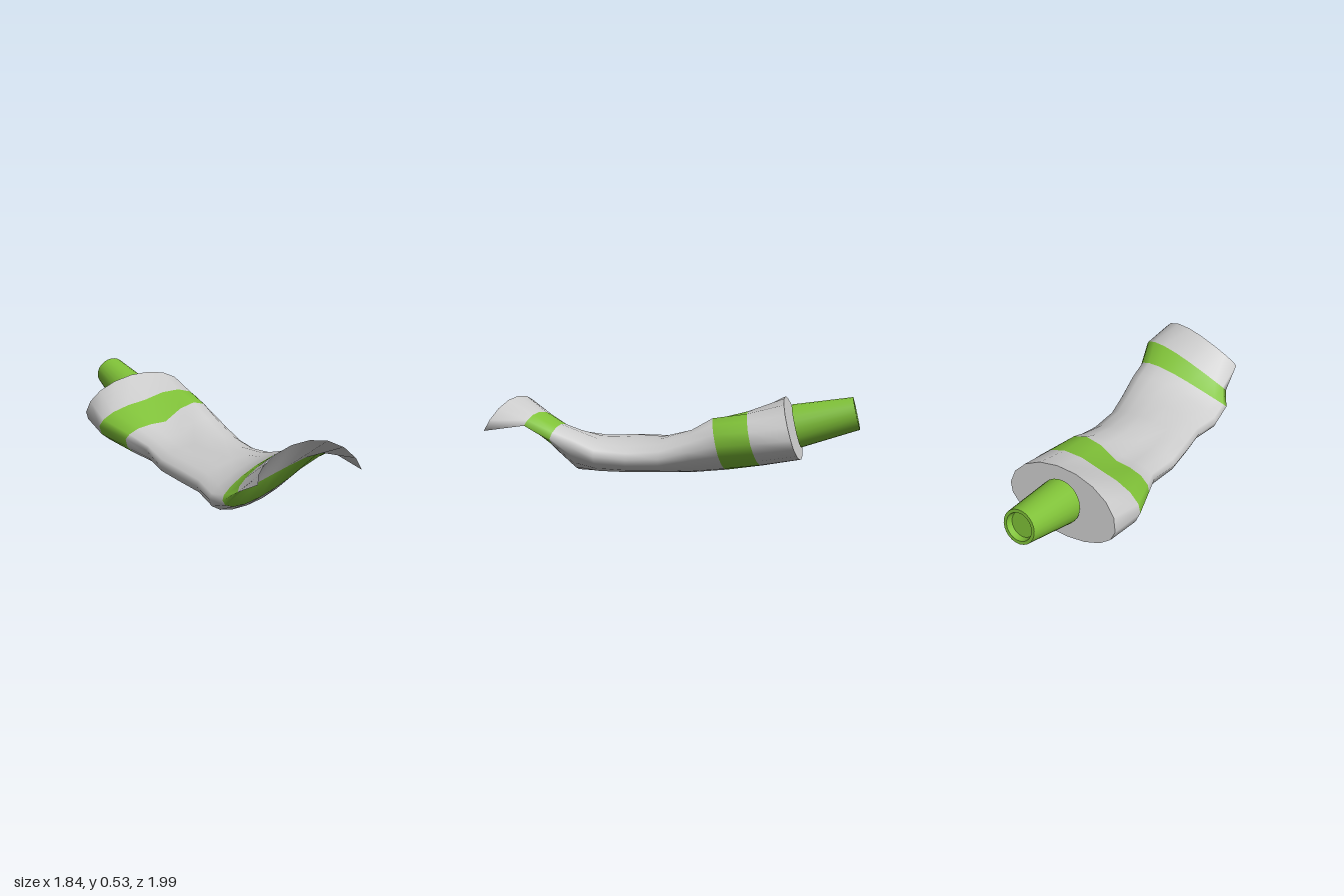
import * as THREE from 'three';
import { toCreasedNormals } from 'three/addons/utils/BufferGeometryUtils.js';

const HALF = 9; // steps across the upper (and lower) sheet of the tube
const RING = HALF * 2;
const TAIL_START = 8; // from this section on, both sheets skew together

// Each section: left edge, right edge, centre heights of the two sheets,
// how far the sheets lean along the tube, a sideways skew of the upper sheet,
// the depth of a dent in it, and the power that sharpens the section's edges.
const section = (l, r, top, bot, lean, skew = 0, dent = 0, power = 1) =>
  ({ l, r, top, bot, lean, skew, dent, power });
const SECTIONS = [
  section([-0.92, 0.27, -0.39], [-0.29, 0.29, -0.83], 0.515, 0.11, [0.07, -0.05]),
  section([-0.79, 0.24, -0.18], [-0.15, 0.26, -0.62], 0.425, 0.06, [0.05, -0.05], 0.08, 0.025),
  section([-0.59, 0.2, -0.04], [-0.05, 0.23, -0.42], 0.375, 0.025, [0.05, -0.04], 0.13, 0.07),
  section([-0.44, 0.16, 0.06], [0.06, 0.19, -0.28], 0.3, 0.01, [0, -0.02], 0.1, 0.06),
  section([-0.33, 0.13, 0.25], [0.18, 0.14, -0.13], 0.255, 0.005, [0, 0], 0.03, 0.03),
  section([-0.2, 0.12, 0.4], [0.31, 0.13, 0.04], 0.24, 0, [0, 0]),
  section([-0.07, 0.11, 0.54], [0.455, 0.15, 0.18], 0.24, 0, [0, 0], 0.02),
  section([0.025, 0.1, 0.72], [0.55, 0.21, 0.29], 0.265, 0, [-0.02, 0], 0.06),
  section([0.11, 0.14, 0.83], [0.63, 0.265, 0.4], 0.3, 0.11, [-0.05, 0], 0.07, 0, 1.1),
  section([0.2, 0.21, 0.865], [0.755, 0.35, 0.5], 0.385, 0.27, [-0.055, -0.05], 0.06, 0, 1.2),
  section([0.32, 0.31, 0.997], [0.915, 0.31, 0.715], 0.5, 0.495, [-0.1, -0.1], 0.09, 0, 1.15),
];
const ALONG = new THREE.Vector3(0.64, 0, 0.767);

// One ring: over the upper sheet from left to right, then back underneath
function ringPoints(s, i) {
  const left = new THREE.Vector3(...s.l);
  const right = new THREE.Vector3(...s.r);
  const midY = (left.y + right.y) / 2;
  const points = [];
  for (let j = 0; j < RING; j++) {
    const a = (j / HALF) * Math.PI;
    const upper = j <= HALF;
    const bulge = Math.abs(Math.sin(a)) ** s.power;
    const t = (1 - Math.cos(a)) / 2;
    const p = left.clone().lerp(right, t);
    p.y += ((upper ? s.top : s.bot) - midY) * bulge;
    if (upper || i >= TAIL_START) p.y += s.skew * (t - 0.5) * bulge;
    if (upper) p.y -= s.dent * Math.exp(-(((t - 0.4) / 0.18) ** 2)) * bulge;
    p.addScaledVector(ALONG, s.lean[upper ? 0 : 1] * bulge);
    points.push(p);
  }
  return points;
}

// Indices joining rings from..to
function skinIndex(from, to) {
  const index = [];
  for (let i = from; i < to; i++) {
    for (let j = 0; j < RING; j++) {
      const k = (j + 1) % RING;
      const a = i * RING + j, b = i * RING + k;
      const c = a + RING, d = b + RING;
      index.push(a, c, b, b, c, d);
    }
  }
  return index;
}

export function createModel() {
  const model = new THREE.Group();
  model.name = 'squeezeTube';
  const grey = new THREE.MeshStandardMaterial({ color: 0xcccccc });
  const green = new THREE.MeshStandardMaterial({ color: 0x80c238 });

  const add = (name, geometry, material) => {
    const mesh = new THREE.Mesh(geometry, material);
    mesh.name = name;
    model.add(mesh);
    return mesh;
  };

  // Tube skin, with normals that run smoothly across the coloured bands
  const rings = SECTIONS.map(ringPoints);
  const skin = new THREE.BufferGeometry().setFromPoints(rings.flat());
  skin.setIndex(skinIndex(0, rings.length - 1));
  skin.computeVertexNormals();

  const addBand = (name, from, to, material) => {
    const band = new THREE.BufferGeometry();
    band.setAttribute('position', skin.getAttribute('position'));
    band.setAttribute('normal', skin.getAttribute('normal'));
    band.setIndex(skinIndex(from, to));
    add(name, band, material);
  };
  addBand('tubeShoulderBand', 0, 1, grey);
  addBand('frontStripe', 1, 2, green);
  addBand('tubeBody', 2, TAIL_START, grey);
  addBand('rearStripe', TAIL_START, 9, green);
  addBand('crimpedTail', 9, 10, grey);

  // Flat shoulder closing the cap end
  const centre = new THREE.Vector3();
  rings[0].forEach((p) => centre.addScaledVector(p, 1 / RING));
  const shoulder = new THREE.BufferGeometry().setFromPoints([centre, ...rings[0]]);
  const fan = [];
  for (let j = 0; j < RING; j++) fan.push(0, j + 1, ((j + 1) % RING) + 1);
  shoulder.setIndex(fan);
  shoulder.computeVertexNormals();
  add('shoulder', shoulder, grey);

  // Tapered cap with a recessed end
  const base = new THREE.Vector3(-0.61, 0.325, -0.62);
  const tip = new THREE.Vector3(-0.83, 0.418, -0.932);
  const axis = tip.clone().sub(base);
  const h = axis.length();
  const profile = [[0.144, 0], [0.108, h], [0.088, h], [0.08, h - 0.04], [0, h - 0.04]]
    .map(([x, y]) => new THREE.Vector2(x, y));
  const cap = add('cap', toCreasedNormals(new THREE.LatheGeometry(profile, 24), 0.6), green);
  cap.position.copy(base);
  cap.quaternion.setFromUnitVectors(new THREE.Vector3(0, 1, 0), axis.normalize());

  return model;
}
